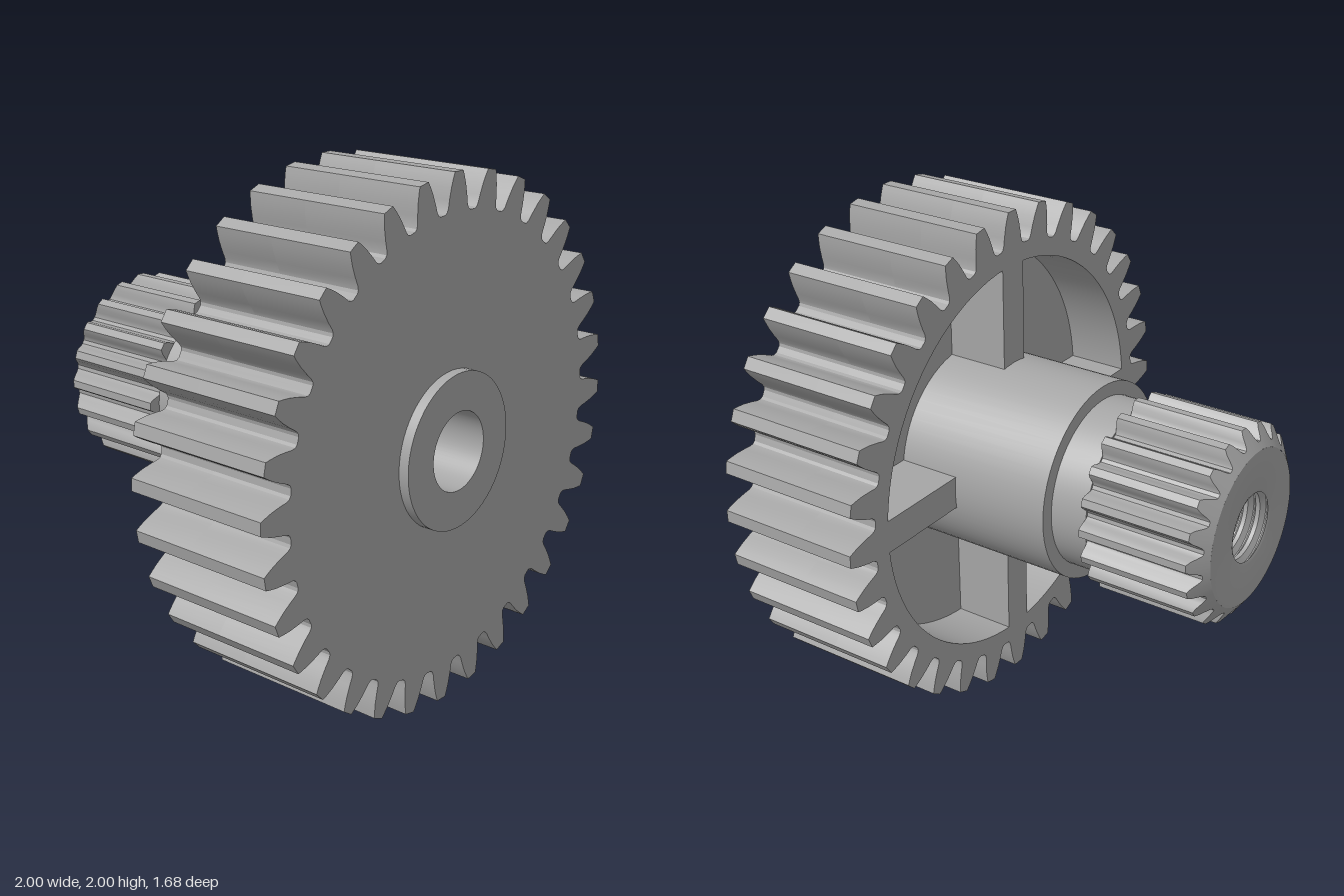
import * as THREE from 'three';
import { toCreasedNormals } from 'three/addons/utils/BufferGeometryUtils.js';

// Closed gear outline; profile lists [radius, half width] from root to tip
function toothOutline(count, profile) {
  const pts = [];
  const pitch = (Math.PI * 2) / count;
  const polar = (r, a) => pts.push(new THREE.Vector2(r * Math.cos(a), r * Math.sin(a)));
  for (let i = 0; i < count; i++) {
    const a = Math.PI / 2 + i * pitch;
    polar(profile[0][0], a - pitch / 2);
    for (const [r, w] of profile) polar(r, a - w / r);
    for (const [r, w] of [...profile].reverse()) polar(r, a + w / r);
  }
  return pts;
}

// Straight extrusion of an outline with a round hole, between two z values
function plate(outline, holeRadius, z0, z1) {
  const shape = new THREE.Shape(outline);
  shape.holes.push(new THREE.Path().absarc(0, 0, holeRadius, 0, Math.PI * 2, true));
  const geo = new THREE.ExtrudeGeometry(shape, { depth: z1 - z0, bevelEnabled: false, curveSegments: 48 });
  geo.translate(0, 0, z0);
  return toCreasedNormals(geo, 0.5);
}

// Skin through rings of equal point count, ordered from front to back
function skin(rings) {
  const n = rings[0].length;
  const idx = [];
  for (let k = 0; k < rings.length - 1; k++) {
    for (let i = 0; i < n; i++) {
      const j = (i + 1) % n;
      const a = k * n + i, b = k * n + j, c = a + n, d = b + n;
      idx.push(a, c, b, b, c, d);
    }
  }
  const geo = new THREE.BufferGeometry().setFromPoints(rings.flat());
  geo.setIndex(idx);
  return toCreasedNormals(geo, 0.5);
}

export function createModel() {
  const model = new THREE.Group();
  model.name = 'compoundGear';
  const grey = new THREE.MeshStandardMaterial({ color: 0xa6a6a6 });
  grey.name = 'grey';
  const add = (name, geo) => {
    const mesh = new THREE.Mesh(geo, grey);
    mesh.name = name;
    mesh.position.y = 1;
    model.add(mesh);
    return mesh;
  };

  // Large gear: solid front web and hollow toothed rim
  const gear = toothOutline(32, [
    [0.861, 0.072], [0.867, 0.062], [0.88, 0.056], [0.91, 0.051], [0.95, 0.042], [0.98, 0.032], [1, 0.024],
  ]);
  add('gearWeb', plate(gear, 0.25, 0.46, 0.8));
  add('gearRim', plate(gear, 0.79, 0.21, 0.46));

  // Four spokes behind the web
  for (let i = 0; i < 4; i++) {
    const geo = new THREE.BoxGeometry(0.13, 0.45, 0.25);
    geo.translate(0, 0.575, 0.335);
    geo.rotateZ((i * Math.PI) / 2);
    add('spoke', geo);
  }

  // Turned shaft with threaded rear hole, stepped hub, front boss and smooth front hole
  const profile = [[0, -0.34], [0.135, -0.34]];
  for (let i = 0; i < 10; i++) {
    const z = -0.34 - i * 0.05;
    profile.push([0.135, z - 0.012], [0.158, z - 0.025], [0.158, z - 0.03], [0.135, z - 0.045]);
  }
  profile.push(
    [0.148, -0.84], [0.305, -0.84], [0.305, -0.34], [0.338, -0.34], [0.338, -0.19], [0.393, -0.19],
    [0.393, 0.5], [0.295, 0.5], [0.295, 0.84], [0.15, 0.84], [0.15, 0.1], [0, 0.1],
  );
  const shaft = new THREE.LatheGeometry(profile.map(([r, z]) => new THREE.Vector2(r, z)), 64);
  shaft.rotateX(Math.PI / 2);
  add('shaft', toCreasedNormals(shaft, 0.5));

  // Pinion: teeth trimmed by a conical chamfer at the rear
  const pinion = toothOutline(20, [
    [0.33, 0.044], [0.336, 0.038], [0.35, 0.032], [0.37, 0.025], [0.385, 0.015],
  ]);
  const ring = (radius, z) => pinion.map((p) => {
    const r = radius ?? p.length();
    const q = p.clone().setLength(r);
    return new THREE.Vector3(q.x, q.y, z ?? -0.84 + (r - 0.305) * 0.69);
  });
  add('pinionTeeth', skin([ring(0.3, -0.34), ring(null, -0.34), ring(null, null), ring(0.305, -0.84)]));

  return model;
}
